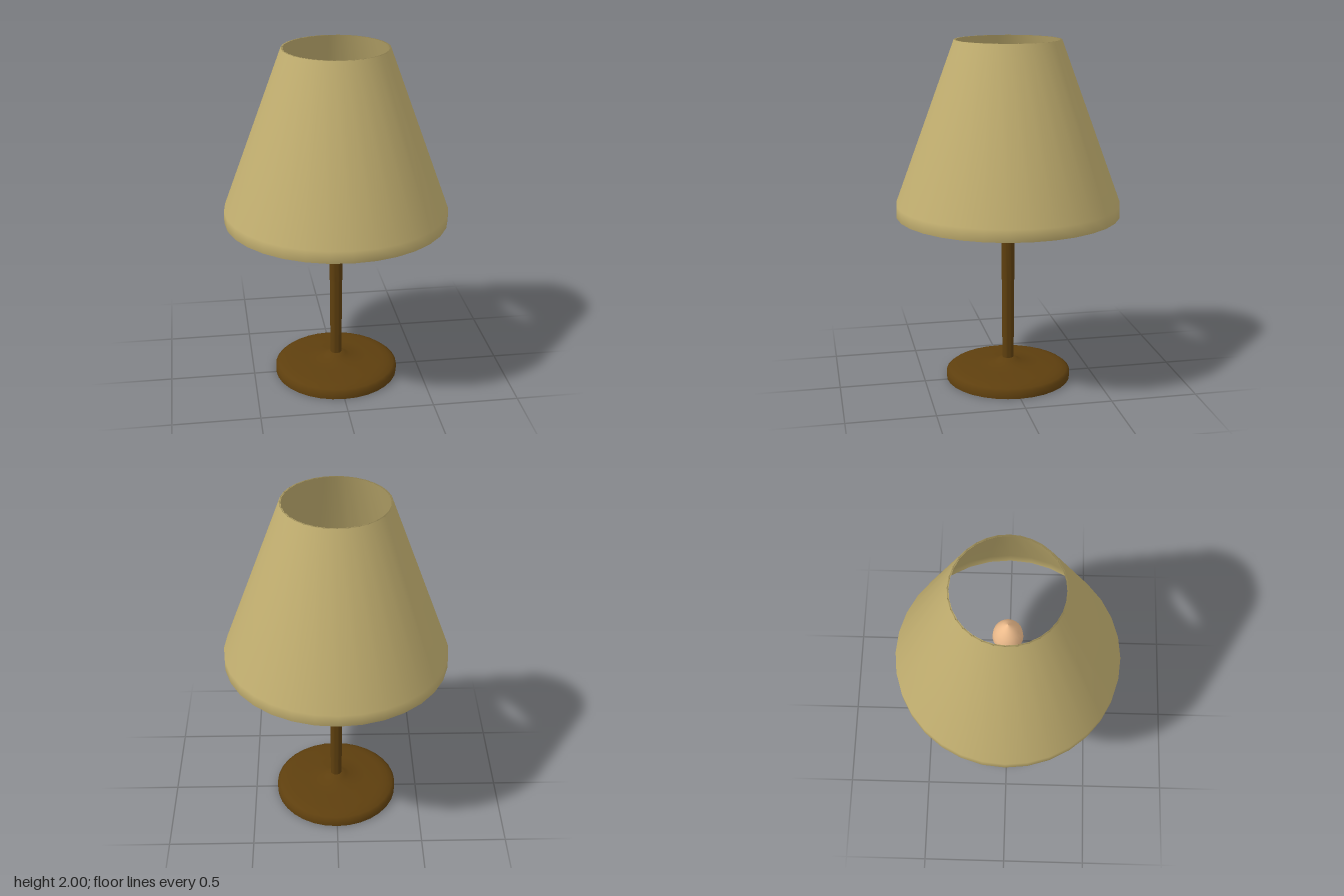
import * as THREE from 'three';
import { toCreasedNormals } from 'three/addons/utils/BufferGeometryUtils.js';

// Revolved part from [radius, height] pairs, listed from bottom to top on the outside
function turned(name, color, profile, segments, crease) {
  let geometry = new THREE.LatheGeometry(profile.map(([r, y]) => new THREE.Vector2(r, y)), segments);
  if (crease) geometry = toCreasedNormals(geometry, crease);
  const mesh = new THREE.Mesh(geometry, new THREE.MeshStandardMaterial({ color }));
  mesh.name = name;
  return mesh;
}

export function createModel() {
  const lamp = new THREE.Group();
  lamp.name = 'tableLamp';
  const wood = 0x5e3f0e;

  // Round foot with a softened edge and a flared collar around the stem
  lamp.add(turned('base', wood, [
    [0, 0], [0.367, 0], [0.367, 0.04], [0.35, 0.054], [0.32, 0.066], [0.28, 0.073],
    [0.18, 0.081], [0.09, 0.09], [0.06, 0.105], [0.034, 0.118], [0, 0.118],
  ], 32, 0.9));

  // Slim stem, stepping slightly wider towards the lamp holder
  lamp.add(turned('stem', wood, [
    [0, 0.08], [0.033, 0.08], [0.033, 0.24], [0.035, 0.24], [0.035, 0.6],
    [0.038, 0.6], [0.04, 0.95], [0.04, 1.31], [0, 1.31],
  ], 24, 0.7));

  // Bulb: round below, tapering to a tip
  lamp.add(turned('bulb', 0xefbd8d, [
    [0, 1.285], [0.04, 1.295], [0.07, 1.325], [0.085, 1.37], [0.08, 1.42],
    [0.06, 1.47], [0.032, 1.51], [0, 1.54],
  ], 24));

  // Hollow conical shade, open at both ends, with a short upright hem
  lamp.add(turned('shade', 0xc2af70, [
    [0.63, 1], [0.645, 1], [0.645, 1.07], [0.303, 2],
    [0.293, 2], [0.63, 1.07], [0.63, 1],
  ], 32));

  return lamp;
}
